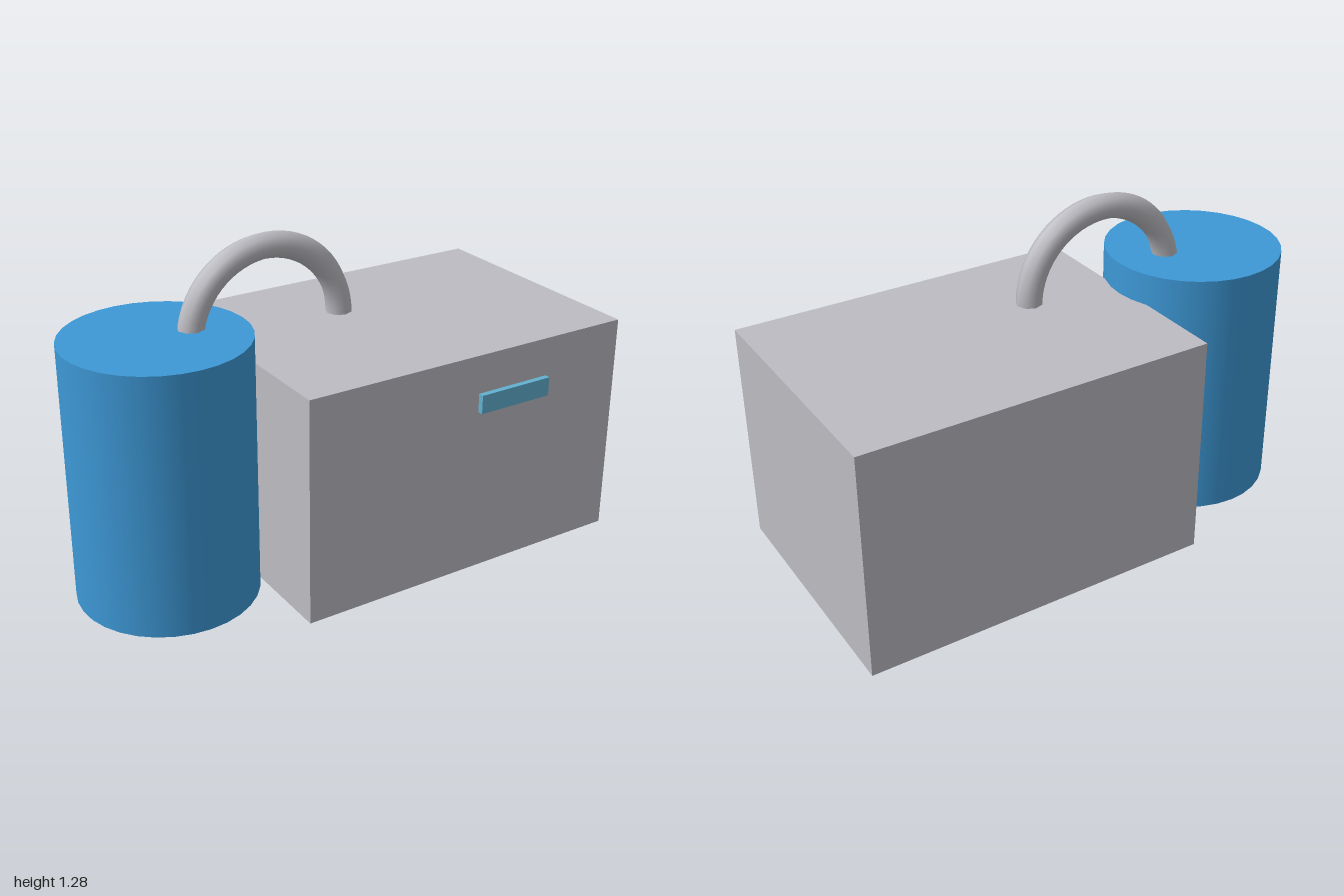
import * as THREE from 'three';

export function createModel() {
  const grey = new THREE.MeshStandardMaterial({ name: 'grey metal', color: 0xbcbcc2, side: THREE.DoubleSide });
  const blue = new THREE.MeshStandardMaterial({ name: 'blue tank', color: 0x3d98d6 });
  const lightBlue = new THREE.MeshStandardMaterial({ name: 'light blue panel', color: 0x62b0d0 });

  const model = new THREE.Group();
  const add = (name, geometry, material, x, y, z = -0.01) => {
    const mesh = new THREE.Mesh(geometry, material);
    mesh.name = name;
    mesh.position.set(x, y, z);
    model.add(mesh);
  };

  // Main box and the tank beside it
  add('body', new THREE.BoxGeometry(1.353, 0.865, 0.983), grey, 0.3235, 0.4325);
  add('tank', new THREE.CylinderGeometry(0.3375, 0.3375, 0.986, 32), blue, -0.6625, 0.493);

  // Half-ring pipe from the tank, open at its free end above the body
  add('pipe', new THREE.TorusGeometry(0.303, 0.049, 8, 32, Math.PI), grey, -0.23, 0.93);

  // Small panel standing proud of the front face
  add('frontPanel', new THREE.BoxGeometry(0.306, 0.072, 0.048), lightBlue, 0.506, 0.681, 0.479);

  return model;
}
